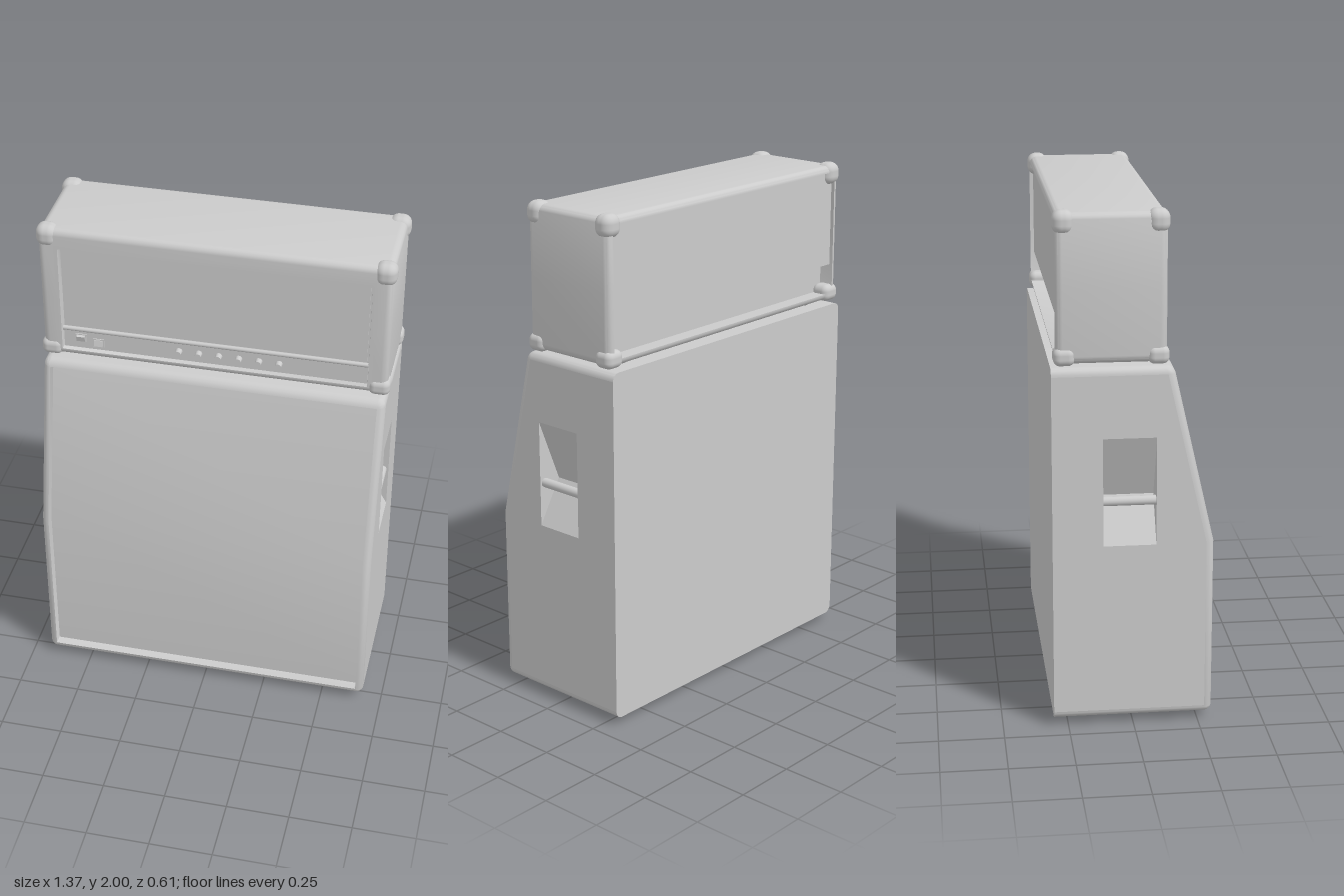
import * as THREE from 'three';
import { toCreasedNormals } from 'three/addons/utils/BufferGeometryUtils.js';
import { RoundedBoxGeometry } from 'three/addons/geometries/RoundedBoxGeometry.js';

const mat = new THREE.MeshStandardMaterial({ color: 0xcccccc });
const matDouble = new THREE.MeshStandardMaterial({ color: 0xcccccc, side: THREE.DoubleSide });
const ARC = 6, KINK = 0.73;
const BACK = -0.305, HALF = 0.675, R = 0.03;

function add(parent, name, geo, x = 0, y = 0, z = 0, material = mat) {
  const m = new THREE.Mesh(geo, material);
  m.name = name;
  m.position.set(x, y, z);
  parent.add(m);
  return m;
}

// Rounded rectangle, counterclockwise from the bottom right; zAt gives depth by height.
function ring(hx, y0, y1, r, zAt, midY = (y0 + y1) / 2) {
  const half = [];
  const corner = (cy, start) => {
    for (let i = 0; i <= ARC; i++) {
      const a = start + (i / ARC) * Math.PI / 2;
      half.push([hx - r + r * Math.cos(a), cy + r * Math.sin(a)]);
    }
  };
  corner(y0 + r, -Math.PI / 2);
  half.push([hx, midY]);
  corner(y1 - r, 0);
  const left = half.map(([x, y]) => [-x, y]).reverse();
  return [...half, ...left].map(([x, y]) => new THREE.Vector3(x, y, zAt(y)));
}

// Joins rings from back to front, closing both ends; skip(band, i) leaves quads out.
function loft(rings, skip = () => false) {
  const v = [], n = rings[0].length;
  const quad = (a, b, c, d) => [a, b, c, a, c, d].forEach(p => v.push(p.x, p.y, p.z));
  for (let k = 0; k < rings.length - 1; k++) {
    const a = rings[k], b = rings[k + 1];
    for (let i = 0; i < n; i++) {
      const j = (i + 1) % n;
      if (!skip(k, i)) quad(a[i], a[j], b[j], b[i]);
    }
  }
  const f = rings[rings.length - 1], s = rings[0];
  for (let i = 0; i < n / 2 - 1; i++) {
    quad(f[i], f[i + 1], f[n - 2 - i], f[n - 1 - i]);
    quad(s[n - 1 - i], s[n - 2 - i], s[i + 1], s[i]);
  }
  const g = new THREE.BufferGeometry();
  g.setAttribute('position', new THREE.Float32BufferAttribute(v, 3));
  return toCreasedNormals(g, 0.5);
}

// Front of the cabinet: upright below the kink, leaning back above it.
const frontZ = y => 0.305 - Math.max(0, y - KINK) * 0.227;

function foot(parent, x, y, z, h) {
  const profile = [[0, 0.45], [0.02, 0.45], [0.024, 0], [0.036, 0], [0.045, 0.35], [0.052, 0.5], [0.052, 1]]
    .map(([r, t]) => new THREE.Vector2(r, t * h));
  add(parent, 'foot', new THREE.LatheGeometry(profile, 20), x, y, z, matDouble);
}

// Side wall with its hole, V-shaped handle pocket and bar, on +x
function cabinetSide() {
  const side = new THREE.Group();
  side.name = 'cabinetSide';
  const z0 = -0.115, z1 = 0.085, y0 = 0.73, y1 = 1.15, yDeep = 0.9, deep = HALF - 0.1;
  const pts = list => list.map(([z, y]) => new THREE.Vector2(-z, y));
  const wall = new THREE.Shape(pts([[BACK, 0.06], [BACK, 1.39], [frontZ(1.39) - R, 1.39],
    [frontZ(KINK) - R, KINK], [frontZ(0.06) - R, 0.06]]));
  wall.holes.push(new THREE.Path(pts([[z0, y0], [z0, y1], [z1, y1], [z1, y0]])));
  add(side, 'sideWall', new THREE.ShapeGeometry(wall).rotateY(Math.PI / 2), HALF, 0, 0, matDouble);

  const P = (x, y, z) => [x, y, z];
  const A = P(HALF, y1, z0), B = P(HALF, y1, z1), C = P(deep, yDeep, z1), D = P(deep, yDeep, z0);
  const E = P(HALF, y0, z0), F = P(HALF, y0, z1);
  const tris = [A, B, C, A, C, D, D, C, F, D, F, E, A, D, E, B, F, C];
  const pocket = new THREE.BufferGeometry();
  pocket.setAttribute('position', new THREE.Float32BufferAttribute(tris.flat(), 3));
  pocket.computeVertexNormals();
  add(side, 'handlePocket', pocket, 0, 0, 0, matDouble);
  add(side, 'handleBar', new THREE.CylinderGeometry(0.018, 0.018, z1 - z0, 16).rotateX(Math.PI / 2),
    0.65, yDeep, (z0 + z1) / 2);
  return side;
}

function cabinet() {
  const g = new THREE.Group();
  g.name = 'speakerCabinet';
  const y0 = 0.03, y1 = 1.42;
  const inset = (d, zAt) => ring(HALF - d, y0 + d, y1 - d, Math.max(R - d, 0.004), zAt, KINK);
  const rings = [inset(0, () => BACK)];
  for (let i = 0; i <= 5; i++) {
    const a = (i / 5) * Math.PI / 2;
    rings.push(inset(R * (1 - Math.cos(a)), y => frontZ(y) - R * (1 - Math.sin(a))));
  }
  rings.push(inset(R + 0.002, y => frontZ(y) - 0.035));
  // The flat sides are left open for the walls with handle pockets
  const n = rings[0].length;
  const flat = i => i === ARC || i === ARC + 1;
  add(g, 'cabinetShellAndGrille', loft(rings, (k, i) => k === 0 && (flat(i) || flat(n - 2 - i))));
  const left = cabinetSide(), right = cabinetSide();
  right.scale.x = -1;
  g.add(left, right);
  for (const x of [-0.545, 0.545]) for (const z of [-0.215, 0.185]) foot(g, x, 0, z, 0.032);
  return g;
}

function head() {
  const g = new THREE.Group();
  g.name = 'amplifierHead';
  const hx = 0.675, y0 = 1.435, y1 = 1.99, zb = -0.288, zf = 0.122, r = 0.026;
  const at = z => () => z;
  const inset = (d, z) => ring(hx - d, y0 + d, y1 - d, Math.max(0.03 - d, 0.004), at(z));
  // Deep rear opening, rounded shell, then the framed front opening
  const rings = [ring(0.648, 1.462, 1.963, 0.004, at(zb + 0.06)), ring(0.648, 1.462, 1.963, 0.004, at(zb))];
  const steps = [0, 1, 2, 3, 4, 5].map(i => (i / 5) * Math.PI / 2);
  for (const a of steps) rings.push(inset(r * (1 - Math.sin(a)), zb + r * (1 - Math.cos(a))));
  for (const a of steps) rings.push(inset(r * (1 - Math.cos(a)), zf - r * (1 - Math.sin(a))));
  rings.push(ring(0.6, 1.462, 1.91, 0.004, at(zf)), ring(0.596, 1.466, 1.906, 0.004, at(zf - 0.028)));
  add(g, 'headShell', loft(rings));

  // Rear cover, overhanging the lower strip
  add(g, 'rearPanel', new THREE.BoxGeometry(1.296, 0.383, 0.05), 0, 1.771, zb + 0.04);

  // Front panels
  add(g, 'frontPanel', new THREE.BoxGeometry(1.18, 0.335, 0.01), 0, 1.73, zf - 0.027);
  add(g, 'dividerBead', new THREE.CylinderGeometry(0.009, 0.009, 1.196, 12).rotateZ(Math.PI / 2), 0, 1.55, zf - 0.018);
  add(g, 'controlPanel', new THREE.BoxGeometry(1.192, 0.078, 0.01), 0, 1.503, zf - 0.024);
  for (let i = 0; i < 6; i++) {
    const x = -0.138 + i * 0.0785;
    add(g, 'knob', new THREE.CylinderGeometry(0.012, 0.014, 0.026, 16).rotateX(Math.PI / 2), x, 1.505, zf - 0.008);
  }
  const switches = [[-0.528, 1.512, 0.25], [-0.458, 1.497, -0.25]];
  for (const [x, y, tilt] of switches) {
    add(g, 'switchFrame', new THREE.BoxGeometry(0.044, 0.034, 0.006), x, y, zf - 0.018);
    add(g, 'rockerSwitch', new THREE.BoxGeometry(0.034, 0.024, 0.014), x, y, zf - 0.014).rotation.x = tilt;
  }

  // Corner protectors: taller on top, shorter at the bottom
  for (const sx of [-1, 1]) for (const z of [-0.256, 0.09]) {
    add(g, 'topCorner', new RoundedBoxGeometry(0.084, 0.088, 0.08, 5, 0.034), sx * 0.643, 1.956, z);
    add(g, 'bottomCorner', new RoundedBoxGeometry(0.084, 0.068, 0.08, 5, 0.026), sx * 0.643, 1.463, z);
  }
  for (const x of [-0.545, 0.545]) for (const z of [-0.2, 0.03]) foot(g, x, 1.419, z, 0.018);
  return g;
}

export function createModel() {
  const model = new THREE.Group();
  model.name = 'amplifierStack';
  model.add(cabinet(), head());
  return model;
}
